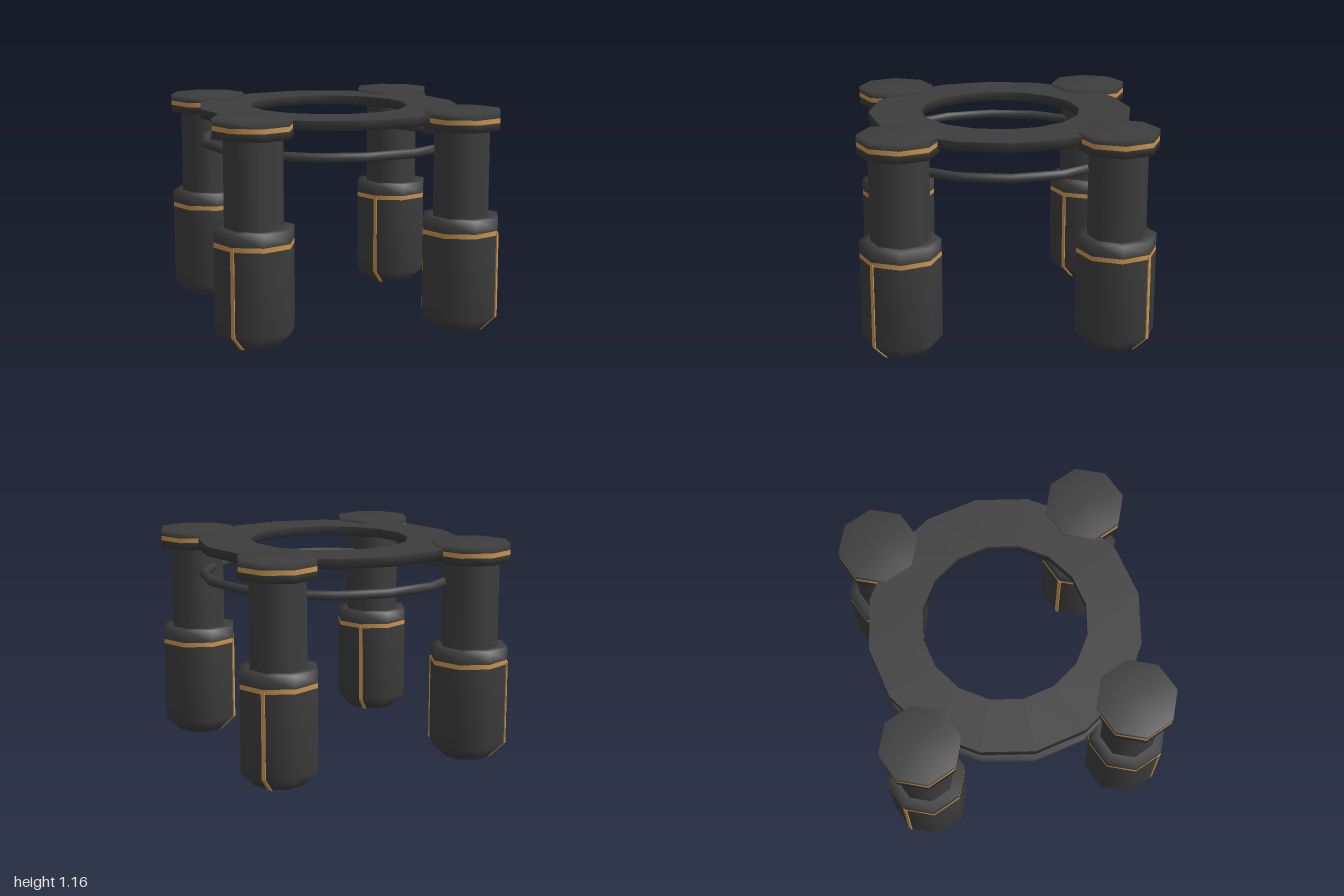
import * as THREE from 'three';

const dark = new THREE.MeshStandardMaterial({ color: 0x3d3d3d });
dark.name = 'charcoal';
const gold = new THREE.MeshStandardMaterial({ color: 0xc8954f });
gold.name = 'gold';

// Revolved part; the profile runs from bottom to top on the outside
function lathe(name, profile, material, sides = 8) {
  const points = profile.map(([r, y]) => new THREE.Vector2(r, y));
  const mesh = new THREE.Mesh(new THREE.LatheGeometry(points, sides), material);
  mesh.name = name;
  return mesh;
}

// Thin gold line running down one side, under the foot and up the other side
function footStripe() {
  const half = [[0.212, 0.53], [0.212, 0.08], [0.131, 0]];
  const outline = [...half, ...half.map(([x, y]) => [-x, y]).reverse()];
  const shape = new THREE.Shape(outline.map(([x, y]) => new THREE.Vector2(x, y)));
  const geometry = new THREE.ExtrudeGeometry(shape, { depth: 0.02, bevelEnabled: false });
  geometry.translate(0, 0, -0.01);
  const mesh = new THREE.Mesh(geometry, gold);
  mesh.name = 'footStripe';
  return mesh;
}

function createLeg() {
  const leg = new THREE.Group();
  leg.add(
    // Heavy foot with a chamfered base and a collar
    lathe('foot', [[0, 0.002], [0.13, 0.002], [0.21, 0.08], [0.21, 0.517]], dark),
    lathe('footBand', [[0.21, 0.517], [0.21, 0.542]], gold),
    lathe('footCollar', [[0.21, 0.542], [0.21, 0.61], [0.15, 0.61]], dark),
    footStripe(),
    // Slimmer column
    lathe('column', [[0.155, 0.6], [0.155, 1.07]], dark),
    // Wide cap with its band
    lathe('capBase', [[0.15, 1.065], [0.21, 1.065], [0.21, 1.105]], dark),
    lathe('capBand', [[0.21, 1.105], [0.21, 1.13]], gold),
    lathe('capTop', [[0.21, 1.13], [0.21, 1.165], [0, 1.165]], dark),
  );
  return leg;
}

export function createModel() {
  const model = new THREE.Group();
  model.name = 'ringTableFrame';

  // Four legs, each turned to face outward
  for (let i = 0; i < 4; i++) {
    const angle = i * Math.PI / 2;
    const leg = createLeg();
    leg.name = 'leg' + (i + 1);
    leg.rotation.y = angle;
    leg.position.set(0.788 * Math.cos(angle), 0, -0.788 * Math.sin(angle));
    model.add(leg);
  }

  // Flat ring joining the caps: softly shaded underside, flat top
  model.add(
    lathe('ringUnderside', [[0.43, 1.145], [0.43, 1.095], [0.71, 1.095], [0.71, 1.145]], dark, 16),
    lathe('ringTop', [[0.71, 1.145], [0.43, 1.145]], dark, 16),
  );

  // Slim rail through the columns
  const rail = new THREE.Mesh(new THREE.TorusGeometry(0.685, 0.025, 8, 16), dark);
  rail.name = 'lowerRail';
  rail.rotation.x = Math.PI / 2;
  rail.position.y = 0.957;
  model.add(rail);

  return model;
}
